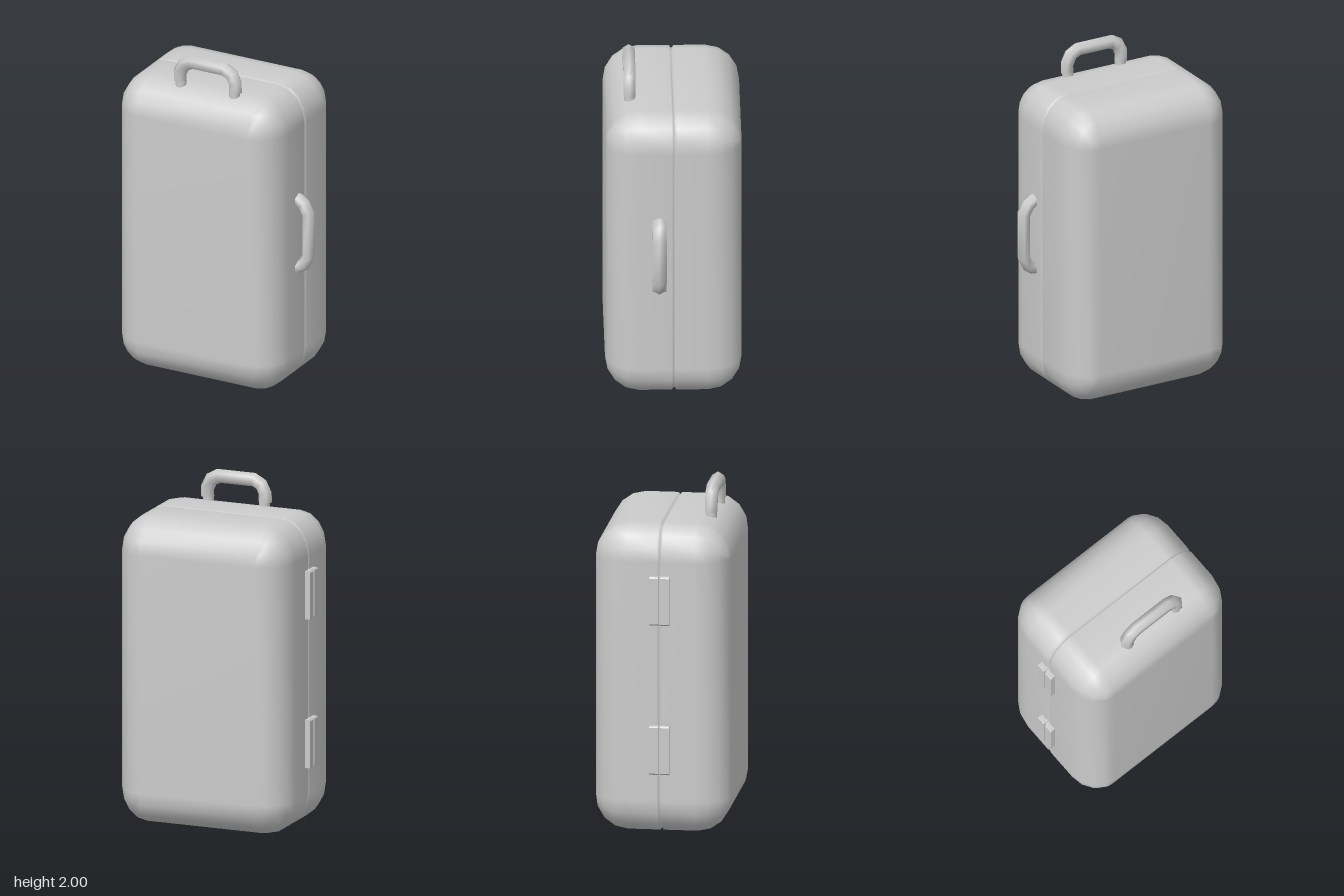
import * as THREE from 'three';
import { mergeVertices, toCreasedNormals } from 'three/addons/utils/BufferGeometryUtils.js';

const material = new THREE.MeshStandardMaterial({ color: 0xcccccc });

function part(parent, name, geometry, x = 0, y = 0, z = 0) {
  const mesh = new THREE.Mesh(geometry, material);
  mesh.name = name;
  mesh.position.set(x, y, z);
  parent.add(mesh);
  return mesh;
}

// Skin closed rings of equal length and cap both ends with fans
function loft(rings) {
  const n = rings[0].length;
  const points = rings.flat();
  const index = [];
  for (let i = 0; i < rings.length - 1; i++) {
    for (let j = 0; j < n; j++) {
      const a = i * n + j, b = i * n + (j + 1) % n;
      index.push(a, b, b + n, a, b + n, a + n);
    }
  }
  [rings[0], rings[rings.length - 1]].forEach((ring, end) => {
    const base = end ? (rings.length - 1) * n : 0;
    const centre = points.length;
    points.push(ring.reduce((sum, p) => sum.add(p), new THREE.Vector3()).divideScalar(n));
    for (let j = 0; j < n; j++) {
      const a = base + j, b = base + (j + 1) % n;
      index.push(centre, end ? a : b, end ? b : a);
    }
  });
  const geometry = new THREE.BufferGeometry().setFromPoints(points);
  geometry.setIndex(index);
  return mergeVertices(geometry);
}

// Rounded case with a V-shaped groove where the two shells meet
function caseGeometry() {
  const rx = 0.17, ry = 0.205, rz = 0.195, steps = 4;
  const left = -0.57 + rx, right = 0.495 - rx, bottom = ry, top = 1.82 - ry;
  const corners = [[right, top], [left, top], [left, bottom], [right, bottom]];
  const outline = (ax, ay, z) => corners.flatMap(([cx, cy], c) =>
    Array.from({ length: steps + 1 }, (_, s) => {
      const t = (c + s / steps) * Math.PI / 2;
      return new THREE.Vector3(cx + ax * Math.cos(t), cy + ay * Math.sin(t), z);
    }));
  const rings = [];
  const shoulder = (s, dir, zc) => {
    const a = s / steps * Math.PI / 2;
    rings.push(outline(rx * Math.cos(a), ry * Math.cos(a), zc + dir * rz * Math.sin(a)));
  };
  for (let s = steps; s >= 0; s--) shoulder(s, -1, -0.2);
  for (const [z, inset] of [[-0.02, 0], [-0.009, 0.014], [-0.003, 0.014], [0.008, 0]]) {
    rings.push(outline(rx - inset, ry - inset, z));
  }
  for (let s = 0; s <= steps; s++) shoulder(s, 1, 0.195);
  const geometry = loft(rings);
  geometry.computeVertexNormals();
  return geometry;
}

// Six-sided bar swept along a flat path, mitred at each bend
function barGeometry(path, thick, deep) {
  const pts = path.map(([x, y]) => new THREE.Vector2(x, y));
  const rings = pts.map((p, i) => {
    const before = p.clone().sub(pts[Math.max(i - 1, 0)]).normalize();
    const after = pts[Math.min(i + 1, pts.length - 1)].clone().sub(p).normalize();
    const t = before.add(after).normalize();
    return Array.from({ length: 6 }, (_, k) => {
      const a = k * Math.PI / 3;
      const r = thick * Math.cos(a);
      return new THREE.Vector3(p.x - t.y * r, p.y + t.x * r, deep * Math.sin(a));
    });
  });
  return toCreasedNormals(loft(rings), 1.2);
}

export function createModel() {
  const model = new THREE.Group();
  model.name = 'suitcase';

  part(model, 'case', caseGeometry());

  // Carrying handle on top, standing on two short posts
  const topHandle = new THREE.Group();
  topHandle.name = 'topHandle';
  topHandle.position.set(-0.008, 0, 0.245);
  model.add(topHandle);
  const topHalf = [[-0.18, 1.835], [-0.18, 1.885], [-0.156, 1.935], [-0.11, 1.96]];
  const topPath = [...topHalf, ...topHalf.map(([x, y]) => [-x, y]).reverse()];
  part(topHandle, 'topHandleBar', barGeometry(topPath, 0.042, 0.04));
  for (const side of [-1, 1]) {
    part(topHandle, 'topHandlePost', new THREE.CylinderGeometry(0.032, 0.032, 0.06, 12), side * 0.175, 1.815, 0);
  }

  // Grip on the left side, its ends sunk into the shell
  const sideHalf = [[0.46, 0.215], [0.495, 0.212], [0.53, 0.19], [0.56, 0.135]];
  const sidePath = [...sideHalf, ...sideHalf.map(([x, y]) => [x, -y]).reverse()];
  part(model, 'sideHandle', barGeometry(sidePath, 0.037, 0.046), 0, 0.955, 0.08);

  // Two hinges on the right side: a pair of chamfered leaves around a recessed pin
  const leafShape = new THREE.Shape([
    [0.05, -0.143], [0.05, 0.143], [-0.008, 0.143], [-0.015, 0.135], [-0.015, -0.135], [-0.008, -0.143],
  ].map(([x, y]) => new THREE.Vector2(x, y)));
  for (const y of [0.512, 1.393]) {
    const hinge = new THREE.Group();
    hinge.name = 'hinge';
    hinge.position.set(-0.585, y, 0);
    model.add(hinge);
    for (const z of [-0.06, 0.003]) {
      part(hinge, 'hingeLeaf', new THREE.ExtrudeGeometry(leafShape, { depth: 0.052, bevelEnabled: false }), 0, 0, z);
    }
    part(hinge, 'hingePin', new THREE.BoxGeometry(0.03, 0.27, 0.014), 0.012, 0, -0.003);
  }

  return model;
}
